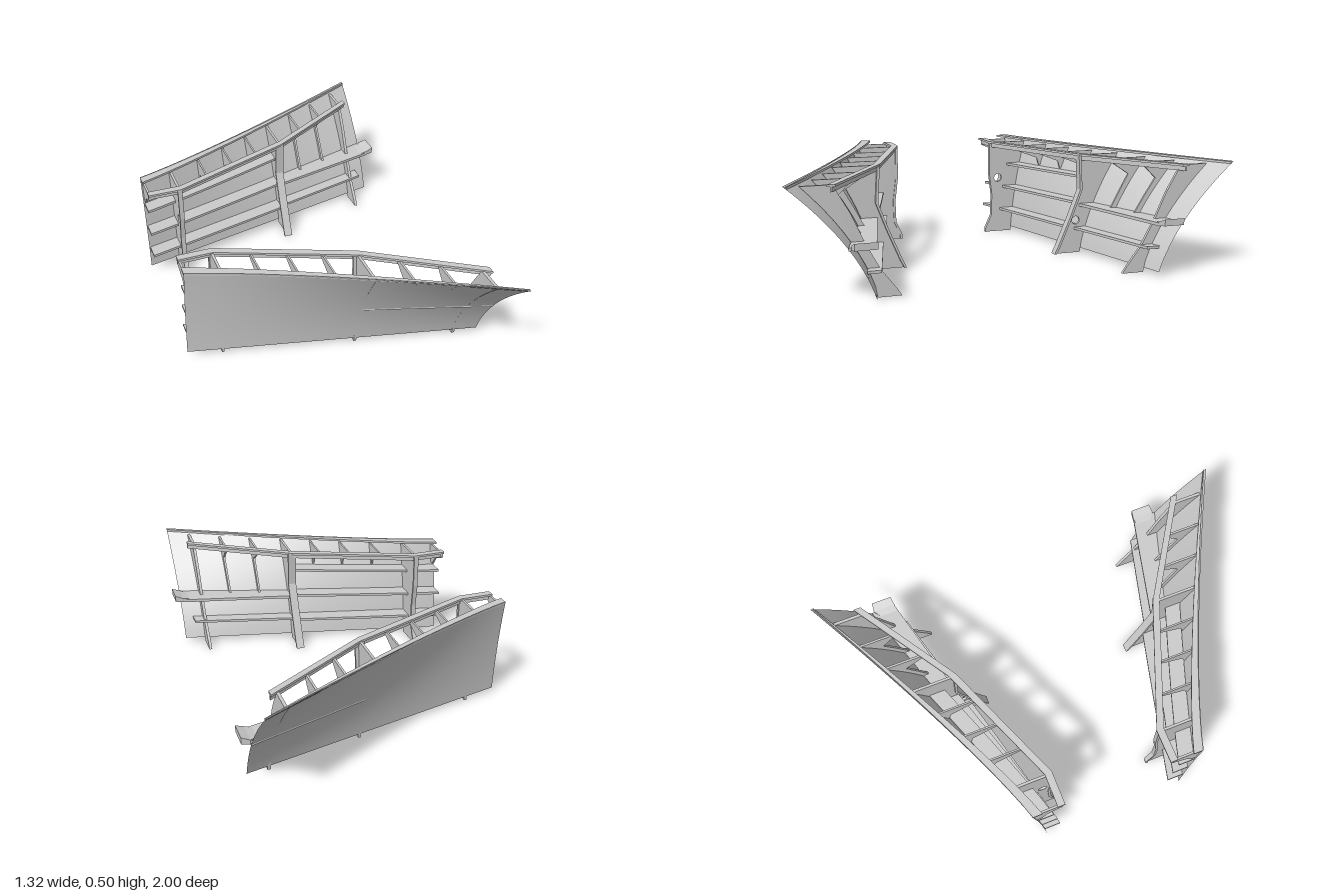
import * as THREE from 'three';

const grey = new THREE.MeshStandardMaterial({ color: 0xcccccc, side: THREE.DoubleSide });
const flat = new THREE.MeshStandardMaterial({ color: 0xcccccc, side: THREE.DoubleSide, flatShading: true });

const X0 = -0.66, X1 = 0.62, Y0 = 0.02, Y1 = 0.5;

// z of the flared plating at a given station x and height y
function skinZ(x, y) {
  const u = THREE.MathUtils.clamp((x - X0) / (X1 - X0), 0, 1);
  const t = THREE.MathUtils.clamp((y - Y0) / (Y1 - Y0), 0, 1);
  const flare = 0.06 + 0.3 * Math.pow(u, 1.3);
  return 0.34 + 0.3 * u + flare * (0.44 * t + 0.56 * t * t);
}

// z of the inboard top rail at station x
const railPath = [[-0.655, 0.265], [-0.5, 0.265], [0.08, 0.5], [0.55, 0.8]];
function railZ(x) {
  for (let i = 1; i < railPath.length; i++) {
    const [xa, za] = railPath[i - 1], [xb, zb] = railPath[i];
    if (x <= xb) return za + (zb - za) * (x - xa) / (xb - xa);
  }
  return 0.8;
}

function add(group, name, geometry, material = flat) {
  const mesh = new THREE.Mesh(geometry, material);
  mesh.name = name;
  group.add(mesh);
  return mesh;
}

// Closed solid through a row of four-cornered cross-sections
function loft(sections) {
  const pos = sections.flat(2), index = [], last = (sections.length - 1) * 4;
  for (let i = 0; i < last; i += 4) {
    for (let k = 0; k < 4; k++) {
      const a = i + k, b = i + (k + 1) % 4;
      index.push(a, b, b + 4, a, b + 4, a + 4);
    }
  }
  index.push(0, 2, 1, 0, 3, 2, last, last + 1, last + 2, last, last + 2, last + 3);
  const g = new THREE.BufferGeometry();
  g.setAttribute('position', new THREE.Float32BufferAttribute(pos, 3));
  g.setIndex(index);
  g.computeVertexNormals();
  return g;
}

// Horizontal plank between an inner and an outer edge given as functions of x
function plank(xa, xb, y, thick, inner, outer, steps = 10) {
  const rows = [];
  for (let i = 0; i <= steps; i++) {
    const x = xa + (xb - xa) * i / steps, a = inner(x), b = outer(x);
    rows.push([[x, y, a], [x, y + thick, a], [x, y + thick, b], [x, y, b]]);
  }
  return loft(rows);
}

// Transverse plate: inner edge listed top to bottom as [z, y], outer edge on the plating
function webPlate(x, inner, thick, hole) {
  const top = inner[0][1], bottom = inner[inner.length - 1][1];
  const shape = new THREE.Shape(inner.map(([z, y]) => new THREE.Vector2(z, y)));
  for (let i = 0; i <= 10; i++) {
    const y = bottom + (top - bottom) * i / 10;
    shape.lineTo(skinZ(x, y) - 0.002, y);
  }
  shape.closePath();
  if (hole) {
    const path = new THREE.Path();
    path.absarc(hole[0], hole[1], hole[2], 0, Math.PI * 2, true);
    shape.holes.push(path);
  }
  const g = new THREE.ExtrudeGeometry(shape, { depth: thick, bevelEnabled: false, curveSegments: 8 });
  return g.rotateY(-Math.PI / 2).translate(x + thick / 2, 0, 0);
}

// Narrow face bar running down the inner edge of a frame
function faceBar(x, inner, width) {
  const h = width / 2;
  return loft(inner.map(([z, y]) => [[x - h, y, z], [x + h, y, z], [x + h, y, z + 0.012], [x - h, y, z + 0.012]]));
}

function buildSide(name, holes) {
  const side = new THREE.Group();
  side.name = name;

  // Curved outer plating
  const skin = new THREE.PlaneGeometry(X1 - X0, Y1 - Y0, 32, 16);
  skin.translate((X0 + X1) / 2, (Y0 + Y1) / 2, 0);
  const p = skin.attributes.position;
  for (let i = 0; i < p.count; i++) p.setZ(i, skinZ(p.getX(i), p.getY(i)));
  skin.computeVertexNormals();
  add(side, 'outerPlating', skin, grey);

  // Tapering strip along the top edge
  add(side, 'topEdgeStrip', plank(X0, X1, 0.488, 0.01,
    x => skinZ(x, 0.49) - 0.04 * (X1 - x) / (X1 - X0) - 0.004, x => skinZ(x, 0.49), 16));

  // Deep frames with face bars
  const aft = [[0.25, 0.48], [0.25, 0.32], [0.265, 0.2], [0.262, 0.09], [0.23, 0.02], [0.23, 0]];
  const mid = [[0.49, 0.48], [0.5, 0.31], [0.45, 0.18], [0.39, 0.04], [0.37, 0]];
  add(side, 'aftFrame', webPlate(-0.505, aft, 0.012, holes && [0.3, 0.29, 0.021]));
  add(side, 'aftFrameFace', faceBar(-0.505, aft, 0.022));
  add(side, 'middleFrame', webPlate(0.075, mid, 0.012, holes && [0.485, 0.16, 0.02]));
  add(side, 'middleFrameFace', faceBar(0.075, mid, 0.04));

  // Slim raking frame near the wide end
  const fore = [[0.79, 0.48], [0.72, 0.36], [0.665, 0.24], [0.6, 0.12], [0.53, 0.03], [0.51, 0]];
  add(side, 'foreFrame', webPlate(0.517, fore, 0.014));

  // Long shelves between and beyond the frames
  for (const y of [0.115, 0.235, 0.355]) {
    add(side, 'aftStringer', plank(-0.655, 0.075, y, 0.012,
      x => skinZ(x, y) - 0.075, x => skinZ(x, y)));
  }
  add(side, 'lowerForeStringer', plank(0.075, 0.57, 0.115, 0.012,
    x => skinZ(x, 0.115) - 0.06, x => skinZ(x, 0.115)));
  add(side, 'middleForeStringer', plank(0.075, X1, 0.228, 0.014,
    x => 0.5 + (x - 0.075) * 0.25, x => skinZ(x, 0.235)));

  // Flared tongue beyond the wide end
  add(side, 'endTongue', loft([
    [[0.58, 0.225, 0.64], [0.58, 0.24, 0.64], [0.58, 0.24, 0.71], [0.58, 0.225, 0.71]],
    [[0.62, 0.23, 0.635], [0.62, 0.25, 0.635], [0.62, 0.25, 0.74], [0.62, 0.23, 0.74]],
    [[0.657, 0.235, 0.64], [0.657, 0.265, 0.64], [0.657, 0.265, 0.735], [0.657, 0.235, 0.735]],
  ]));

  // Inboard top rail: flat cap with a shallow web under it
  for (let i = 1; i < railPath.length; i++) {
    const [xa] = railPath[i - 1], [xb] = railPath[i];
    add(side, 'topRail', plank(xa, xb, 0.476, 0.01, x => railZ(x) - 0.017, x => railZ(x) + 0.017, 2));
    add(side, 'topRailWeb', plank(xa, xb, 0.455, 0.022, x => railZ(x) - 0.004, x => railZ(x) + 0.004, 2));
  }

  // Upper bracket row between the deep frames
  for (const x of [-0.35, -0.205, -0.065]) {
    add(side, 'topBracket', webPlate(x, [
      [railZ(x), 0.478], [railZ(x), 0.46], [skinZ(x, 0.4) - 0.03, 0.41], [skinZ(x, 0.38) - 0.01, 0.37]], 0.008));
  }
  add(side, 'endBracket', webPlate(-0.648, [
    [0.26, 0.478], [0.26, 0.45], [0.33, 0.42], [0.36, 0.38]], 0.01));

  // Slanting ribs from the rail to the middle shelf
  for (const x of [0.225, 0.37]) {
    add(side, 'slantingRib', webPlate(x, [
      [railZ(x), 0.478], [railZ(x), 0.46], [skinZ(x, 0.4) - 0.035, 0.4],
      [skinZ(x, 0.32) - 0.03, 0.32], [skinZ(x, 0.24) - 0.03, 0.24]], 0.01));
  }
  return side;
}

export function createModel() {
  const model = new THREE.Group();
  model.name = 'flaredHullSides';
  model.add(buildSide('frontSide', false));
  const back = buildSide('backSide', true);
  back.scale.z = -1;
  model.add(back);
  return model;
}
